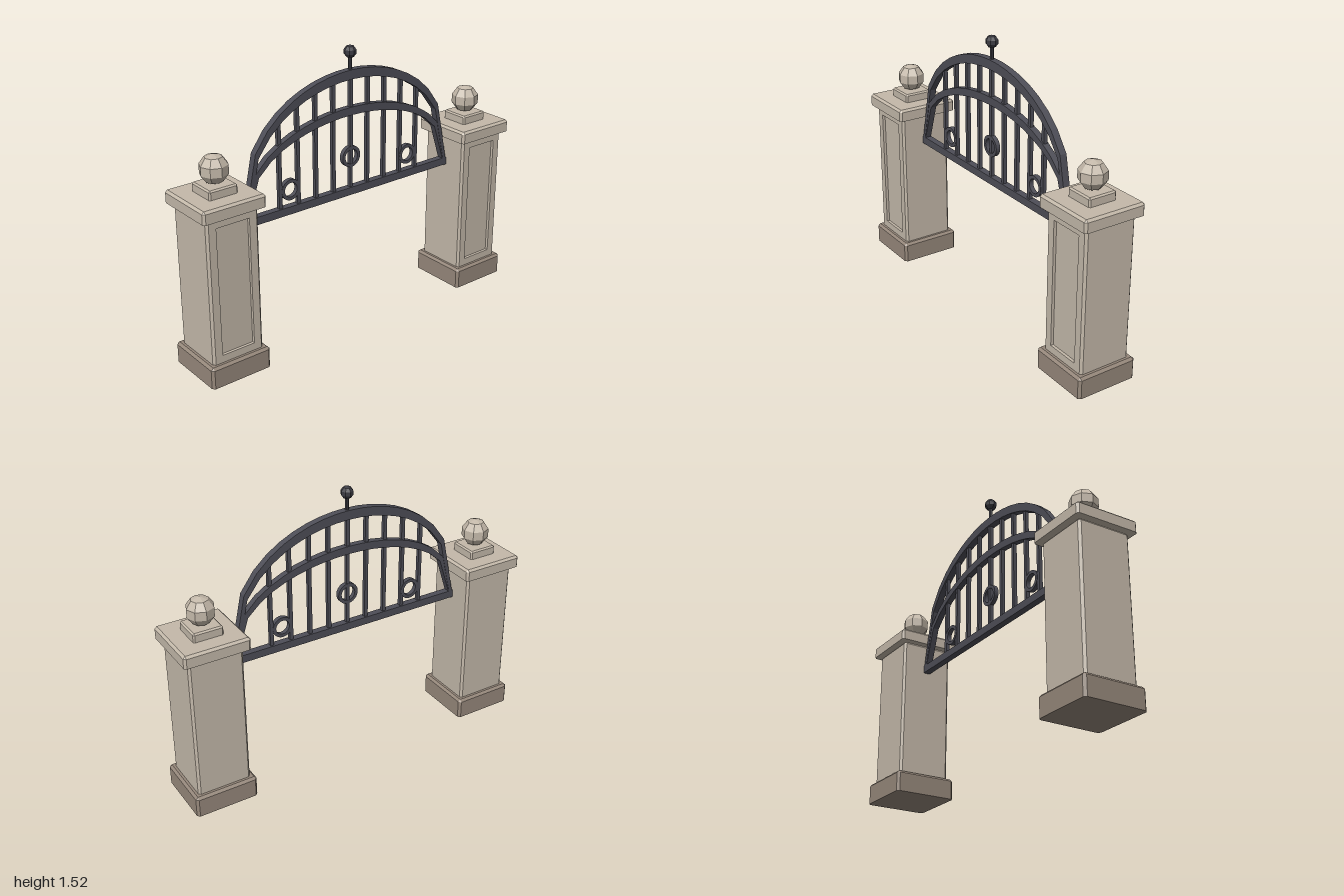
import * as THREE from 'three';
import { mergeGeometries } from 'three/addons/utils/BufferGeometryUtils.js';

const mat = (name, color) => {
  const m = new THREE.MeshStandardMaterial({ color, flatShading: true });
  m.name = name;
  return m;
};

// Square block with chamfered upright and top edges; can leave the front (+z) face open
function chamferBlock(half, y0, y1, c, openFront = false) {
  const k = half - c;
  const ring = (h, y) => [[k, h], [h, k], [h, -k], [k, -h], [-k, -h], [-h, -k], [-h, k], [-k, h]]
    .map(([x, z]) => [x, y, z]);
  const rings = [ring(half, y0), ring(half, y1 - c), ring(k, y1)];
  const pos = [];
  const tri = (a, b, d) => pos.push(...a, ...b, ...d);
  for (let r = 0; r < 2; r++) {
    for (let i = 0; i < 8; i++) {
      if (openFront && r === 0 && i === 7) continue;
      const j = (i + 1) % 8;
      tri(rings[r][i], rings[r][j], rings[r + 1][j]);
      tri(rings[r][i], rings[r + 1][j], rings[r + 1][i]);
    }
  }
  const [bottom, , top] = rings;
  for (let i = 1; i < 7; i++) {
    tri(top[0], top[i], top[i + 1]);
    tri(bottom[0], bottom[i + 1], bottom[i]);
  }
  const g = new THREE.BufferGeometry();
  g.setAttribute('position', new THREE.Float32BufferAttribute(pos, 3));
  g.computeVertexNormals();
  return g;
}

function rectPath(target, w, y0, y1) {
  target.moveTo(-w, y0);
  target.lineTo(w, y0);
  target.lineTo(w, y1);
  target.lineTo(-w, y1);
  target.closePath();
  return target;
}

// Pillar shaft with a sunken panel in its front face
function shaftGeometry() {
  const half = 0.146, c = 0.012, y0 = 0.11, y1 = 0.887;
  const w = 0.093, p0 = 0.155, p1 = 0.84, depth = 0.016;
  const mid = (p0 + p1) / 2, back = half - depth / 2;
  const face = rectPath(new THREE.Shape(), half - c, y0, y1 - c);
  face.holes.push(rectPath(new THREE.Path(), w, p0, p1));
  const plane = (a, b) => new THREE.PlaneGeometry(a, b);
  const sheets = [
    new THREE.ShapeGeometry(face).translate(0, 0, half),
    plane(2 * w, p1 - p0).translate(0, mid, half - depth),
    plane(depth, p1 - p0).rotateY(Math.PI / 2).translate(-w, mid, back),
    plane(depth, p1 - p0).rotateY(-Math.PI / 2).translate(w, mid, back),
    plane(2 * w, depth).rotateX(-Math.PI / 2).translate(0, p0, back),
    plane(2 * w, depth).rotateX(Math.PI / 2).translate(0, p1, back),
  ].map((g) => g.toNonIndexed().deleteAttribute('uv'));
  return mergeGeometries([chamferBlock(half, y0, y1, c, true), ...sheets]);
}

// Arch edge: height at u = -1..1 along the span
const SPAN = 0.675, SPRING = 0.74;
const archY = (u, rise) => SPRING + rise * Math.pow(Math.max(0, 1 - u * u), 0.405);

function archGeometry(rise, thick, depth) {
  const n = 18, upper = [], lower = [];
  for (let i = 0; i <= n; i++) {
    const u = -1 + (2 * i) / n;
    upper.push(new THREE.Vector2(SPAN * u, archY(u, rise)));
    lower.unshift(new THREE.Vector2((SPAN - 0.02) * u, archY(u, rise - thick)));
  }
  const g = new THREE.ExtrudeGeometry(new THREE.Shape([...upper, ...lower]), { depth, bevelEnabled: false });
  return g.translate(0, 0, -depth / 2);
}

// Flat ring cut from plate
function ringGeometry(outer, inner, depth) {
  const shape = new THREE.Shape().absarc(0, 0, outer, 0, Math.PI * 2);
  shape.holes.push(new THREE.Path().absarc(0, 0, inner, 0, Math.PI * 2));
  const g = new THREE.ExtrudeGeometry(shape, { depth, bevelEnabled: false, curveSegments: 18 });
  return g.translate(0, 0, -depth / 2);
}

export function createModel() {
  const stone = mat('stone', 0xc4b9aa);
  const plinthStone = mat('dark stone', 0x96887b);
  const iron = mat('iron', 0x4e4e57);
  const darkIron = mat('dark iron', 0x3c3c43);

  const model = new THREE.Group();
  model.name = 'archedGate';
  const add = (parent, name, geometry, material, x = 0, y = 0) => {
    const m = new THREE.Mesh(geometry, material);
    m.name = name;
    m.position.set(x, y, 0);
    parent.add(m);
  };

  // Stone pillars
  const base = chamferBlock(0.172, 0, 0.115, 0.013);
  const shaft = shaftGeometry();
  const cap = chamferBlock(0.176, 0.887, 0.953, 0.012);
  const neck = chamferBlock(0.08, 0.945, 1.0, 0.008);
  const ball = new THREE.SphereGeometry(0.076, 8, 5);
  for (const side of [1, -1]) {
    const pillar = new THREE.Group();
    pillar.name = side > 0 ? 'leftPillar' : 'rightPillar';
    pillar.position.x = side * 0.824;
    add(pillar, 'base', base, plinthStone);
    add(pillar, 'shaft', shaft, stone);
    add(pillar, 'cap', cap, stone);
    add(pillar, 'neck', neck, stone);
    add(pillar, 'ball', ball, stone, 0, 1.072);
    model.add(pillar);
  }

  // Iron gate: rail and two arches
  const gate = new THREE.Group();
  gate.name = 'gate';
  model.add(gate);
  add(gate, 'bottomRail', new THREE.BoxGeometry(1.355, 0.042, 0.038), iron, 0, 0.739);
  add(gate, 'outerArch', archGeometry(0.66, 0.05, 0.038), iron);
  add(gate, 'innerArch', archGeometry(0.462, 0.043, 0.034), iron);

  // Upright bars from the rail to the outer arch
  for (let i = -4; i <= 4; i++) {
    const x = i * 0.1128;
    const top = archY(x / SPAN, 0.66) - 0.025;
    add(gate, 'bar', new THREE.BoxGeometry(0.02, top - 0.74, 0.02), iron, x, (top + 0.74) / 2);
  }

  // Ring ornaments
  for (const [x, y, r] of [[0, 0.93, 0.058], [-0.389, 0.848, 0.056], [0.389, 0.848, 0.056]]) {
    add(gate, 'ring', ringGeometry(r, r - 0.018, 0.024), iron, x, y);
  }

  // Finial on the crown
  add(gate, 'finialPost', new THREE.CylinderGeometry(0.011, 0.011, 0.1, 8), darkIron, 0, 1.42);
  add(gate, 'finialBall', new THREE.SphereGeometry(0.034, 8, 5), darkIron, 0, 1.491);

  return model;
}
